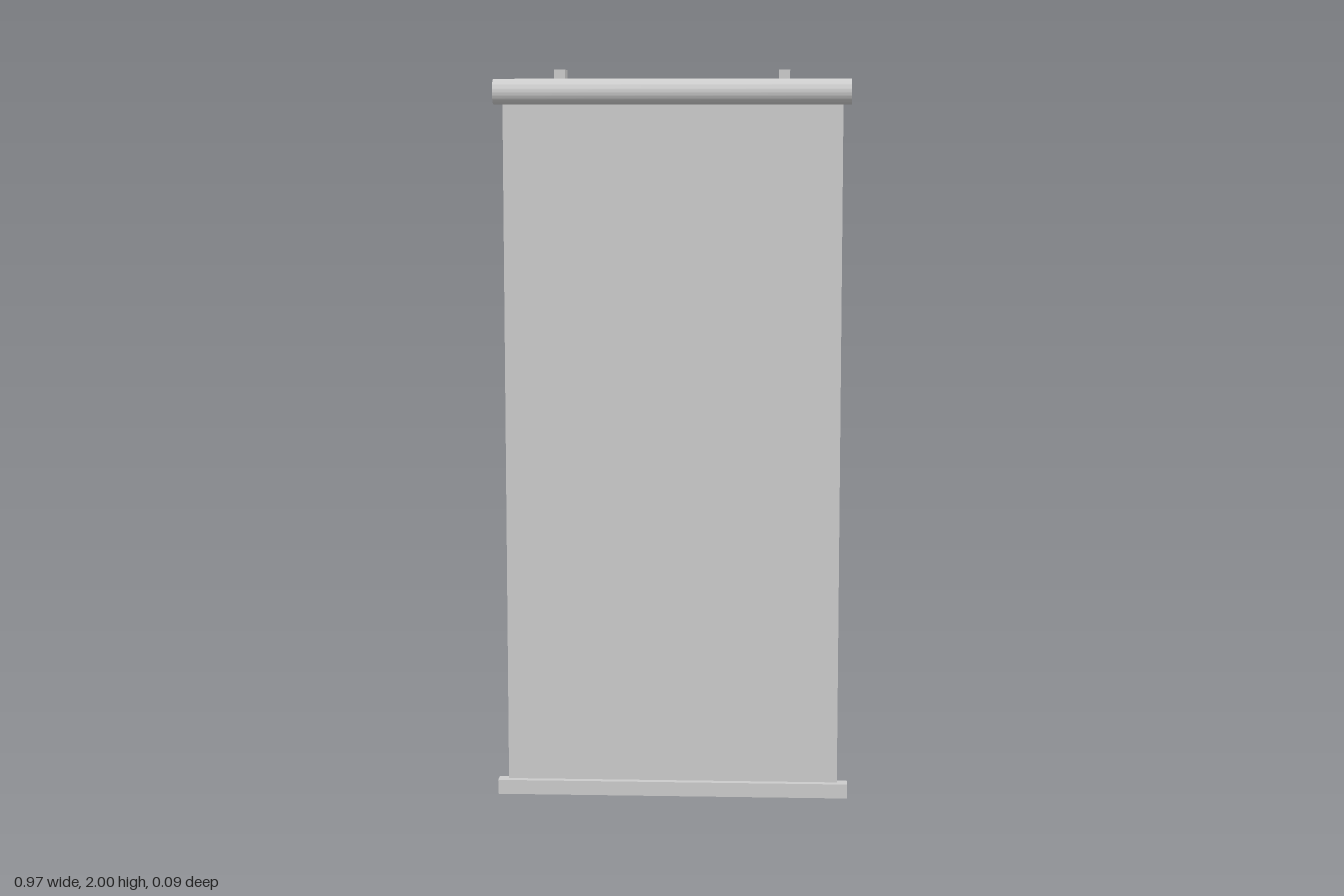
import * as THREE from 'three';
import { toCreasedNormals } from 'three/addons/utils/BufferGeometryUtils.js';

const material = new THREE.MeshStandardMaterial({ color: 0xcccccc, side: THREE.DoubleSide });

function addMesh(parent, name, geometry, x = 0, y = 0, z = 0) {
  const mesh = new THREE.Mesh(geometry, material);
  mesh.name = name;
  mesh.position.set(x, y, z);
  parent.add(mesh);
  return mesh;
}

// Thin channel, open at the back: a [z, y] profile swept along x, with end caps
function makeChannel(name, profile, halfWidth) {
  const group = new THREE.Group();
  group.name = name;
  const positions = [];
  const index = [];
  profile.forEach(([z, y], i) => {
    positions.push(-halfWidth, y, z, halfWidth, y, z);
    if (i === 0) return;
    const a = 2 * (i - 1);
    index.push(a, a + 2, a + 1, a + 1, a + 2, a + 3);
  });
  const wall = new THREE.BufferGeometry();
  wall.setAttribute('position', new THREE.Float32BufferAttribute(positions, 3));
  wall.setIndex(index);
  addMesh(group, name + 'Shell', toCreasedNormals(wall, Math.PI / 6));

  for (const side of [-1, 1]) {
    const outline = new THREE.Shape(profile.map(([z, y]) => new THREE.Vector2(-side * z, y)));
    const cap = new THREE.ShapeGeometry(outline).rotateY(side * Math.PI / 2);
    addMesh(group, name + 'EndCap', cap, side * halfWidth);
  }
  return group;
}

export function createModel() {
  const model = new THREE.Group();
  model.name = 'rollerScreen';

  // Housing with a half-round front
  const back = -0.046, radius = 0.034, centreY = 1.942, centreZ = 0.012;
  const housing = [[back, centreY + radius]];
  const steps = 24;
  for (let i = 0; i <= steps; i++) {
    const a = Math.PI / 2 - (Math.PI * i) / steps;
    housing.push([centreZ + radius * Math.cos(a), centreY + radius * Math.sin(a)]);
  }
  housing.push([back, centreY - radius]);
  model.add(makeChannel('housing', housing, 0.479));

  // Mounting brackets on top of the housing
  for (const side of [-1, 1]) {
    addMesh(model, 'mountingBracket', new THREE.BoxGeometry(0.03, 0.024, 0.066), side * 0.3, 1.988, -0.013);
  }

  // Hanging sheet
  addMesh(model, 'screenSheet', new THREE.PlaneGeometry(0.916, 1.87), 0, 0.973, -0.013);

  // Square bottom bar
  const bar = [[-0.033, 0.04], [0.007, 0.04], [0.007, 0], [-0.033, 0]];
  model.add(makeChannel('bottomBar', bar, 0.486));

  return model;
}
